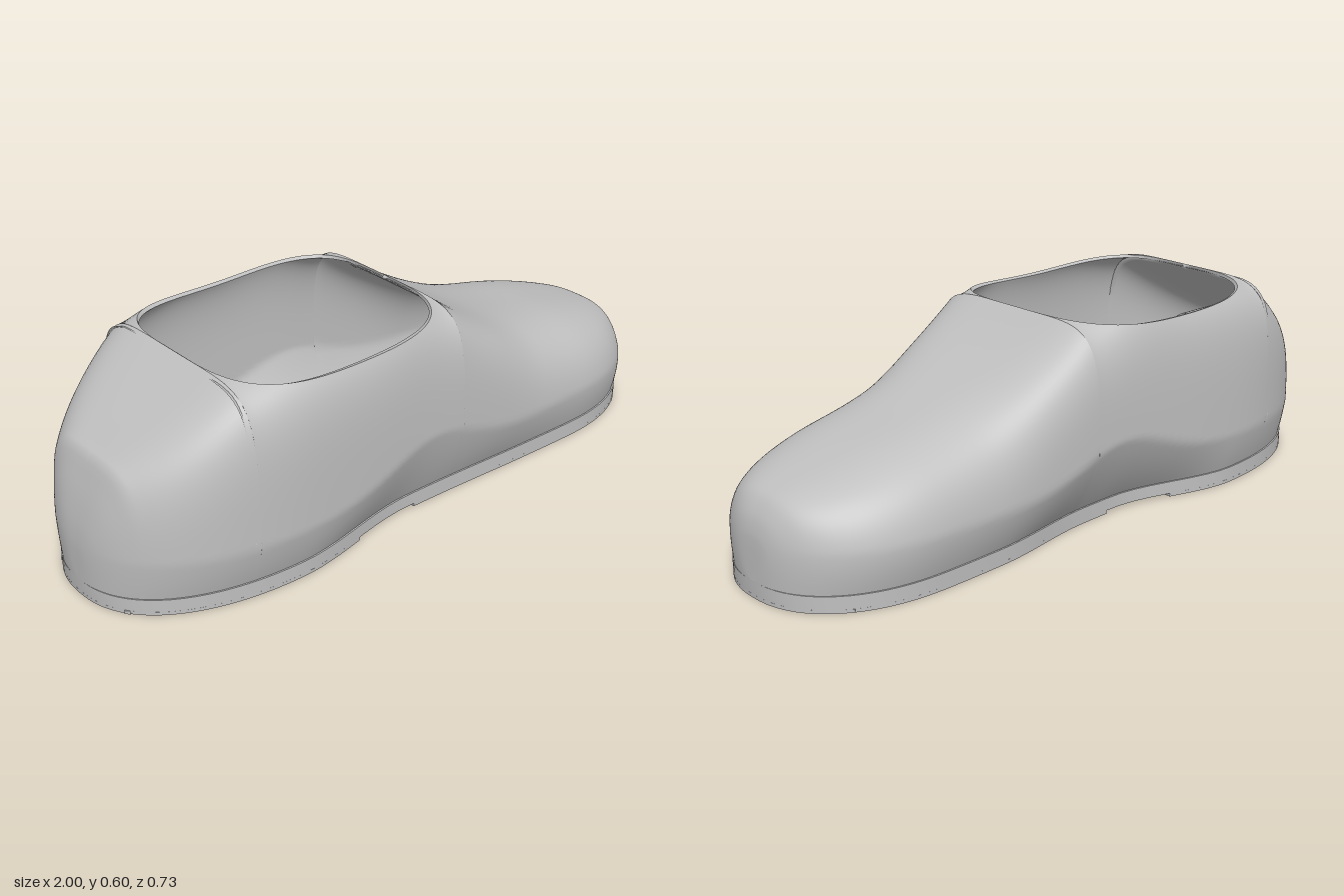
import * as THREE from 'three';
import { toCreasedNormals } from 'three/addons/utils/BufferGeometryUtils.js';

const OPEN_C = -0.285, OPEN_H = 0.365, OPEN_W = 0.326, BASE = 0.048, WALL = 0.016;

// Monotone cubic through [x, value] points
function curve(p) {
  const d = p.slice(1).map((q, i) => (q[1] - p[i][1]) / (q[0] - p[i][0]));
  const m = p.map((_, i) => {
    if (i === 0) return d[0];
    if (i === p.length - 1) return d[i - 1];
    return d[i - 1] * d[i] <= 0 ? 0 : (2 * d[i - 1] * d[i]) / (d[i - 1] + d[i]);
  });
  return (x) => {
    let i = 0;
    while (i < p.length - 2 && x > p[i + 1][0]) i++;
    const h = p[i + 1][0] - p[i][0], t = Math.min(1, Math.max(0, (x - p[i][0]) / h));
    const a = t * t * (3 - 2 * t), b = t * (1 - t) * (1 - t), c = t * t * (t - 1);
    return p[i][1] * (1 - a) + p[i + 1][1] * a + h * (m[i] * b + m[i + 1] * c);
  };
}

const ridge = curve([[-1, BASE], [-0.997, 0.15], [-0.98, 0.25], [-0.945, 0.362], [-0.93, 0.4], [-0.91, 0.415], [-0.67, 0.588],
  [-0.65, 0.602], [0.08, 0.602], [0.1, 0.586], [0.2, 0.52], [0.35, 0.445], [0.5, 0.395], [0.7, 0.35], [0.88, 0.3],
  [0.94, 0.275], [0.975, 0.23], [0.993, 0.17], [1, BASE]]);
const squareness = curve([[-1, 3.4], [-0.65, 6], [0.08, 6], [0.45, 3.3], [1, 2.8]]);
const bodyHalf = curve([[-1, 0.36], [-0.45, 0.366], [0, 0.347], [0.3, 0.34], [0.6, 0.33], [1, 0.32]]);
const soleHalf = [0.25, 0.28].map((w) =>
  curve([[-1, 0.335], [-0.5, 0.338], [-0.08, w], [0.05, w + 0.003], [0.4, 0.3], [0.6, 0.305], [1, 0.3]]));

// Rounded heel and toe in plan
function ends(x) {
  const u = x < -0.45 ? (-0.45 - x) / 0.55 : x > 0.6 ? (x - 0.6) / 0.4 : 0;
  return Math.pow(Math.max(0, 1 - Math.pow(u, 2.3)), 1 / 2.3);
}
const soleW = (x, s) => soleHalf[s > 0 ? 1 : 0](x) * ends(x);

// One half cross-section point: k runs 0 (base) to 1 (ridge or rim)
function bodyPoint(x, k, s) {
  const n = squareness(x), w = bodyHalf(x) * ends(x), u = Math.abs(x - OPEN_C) / OPEN_H;
  let top = ridge(x), end = Math.PI / 2;
  if (u < 1 - 1e-9) {
    const r = OPEN_W * Math.pow(1 - Math.pow(u, 3.5), 1 / 3.5) / w;
    const rise = Math.pow(1 - Math.pow(r, n), 1 / n);
    top = BASE + (0.575 + 0.027 * u * u - BASE) / rise;
    end = Math.atan2(rise, r);
  }
  const a = end * k, co = Math.PI / 2 - a < 1e-9 ? 0 : Math.cos(a), si = Math.sin(a);
  const rho = Math.pow(Math.pow(co, n) + Math.pow(si, n), -1 / n);
  const y = BASE + (top - BASE) * si * rho;
  // pinch towards the sole, with a crease that is highest at the arch
  const crease = 0.165 + 0.095 * Math.exp(-Math.pow((x + 0.03) / 0.22, 2));
  const t = Math.min(1, (y - BASE) / (crease - BASE));
  const base = w > 1e-6 ? Math.max(0, soleW(x, s) - 0.005) / w : 1;
  return [x, y, s * w * co * rho * (base + (1 - base) * t * (1.3 - 0.3 * t))];
}

// Outer skin, offset lining and rim strip
function buildUpper() {
  const xs = [], A = 36, B = 56, C = 52, M = 44;
  for (let i = 0; i < A; i++) xs.push(-1 + 0.35 * Math.pow(i / A, 2.3));
  for (let i = 0; i <= B; i++) {
    const t = Math.sin((Math.PI / 2) * (2 * i / B - 1));
    xs.push(OPEN_C + OPEN_H * Math.sin((Math.PI / 2) * t));
  }
  for (let i = 1; i <= C; i++) xs.push(1 - 0.92 * Math.pow(1 - i / C, 2.3));
  const row = 2 * (M + 1), pos = [], idx = [];
  const id = (i, k, s) => i * row + (s > 0 ? 0 : M + 1) + k;
  xs.forEach((x) => [1, -1].forEach((s) => {
    for (let k = 0; k <= M; k++) pos.push(...bodyPoint(x, k / M, s));
  }));
  const quad = (out, a, b, c, d, flip) => (flip ? out.push(a, c, b, b, c, d) : out.push(a, b, c, b, d, c));
  for (let i = 0; i < xs.length - 1; i++) for (const s of [1, -1]) for (let k = 0; k < M; k++)
    quad(idx, id(i, k, s), id(i + 1, k, s), id(i, k + 1, s), id(i + 1, k + 1, s), s < 0);
  const make = (p, ix) => {
    const g = new THREE.BufferGeometry();
    g.setAttribute('position', new THREE.Float32BufferAttribute(p, 3));
    g.setIndex(ix);
    g.computeVertexNormals();
    return g;
  };
  const outer = make(pos, idx), nor = outer.attributes.normal, v = new THREE.Vector3();
  const inPos = [];
  for (let i = 0; i < nor.count; i++) {
    v.fromBufferAttribute(nor, i);
    if (Math.abs(pos[3 * i + 2]) < 1e-6) { // keep the centre line seamless
      v.z = 0;
      if (v.lengthSq() < 1e-8) v.set(Math.sign(pos[3 * i]), 0, 0);
      v.normalize();
      nor.setXYZ(i, v.x, v.y, v.z);
    }
    inPos.push(pos[3 * i] - v.x * WALL, Math.max(BASE, pos[3 * i + 1] - v.y * WALL * 0.6), pos[3 * i + 2] - v.z * WALL);
  }
  const inIdx = [];
  for (let i = 0; i < idx.length; i += 3) inIdx.push(idx[i], idx[i + 2], idx[i + 1]);
  const rimPos = [], rimIdx = [];
  for (const s of [1, -1]) for (let i = A; i <= A + B; i++) {
    const o = 3 * id(i, M, s), n = rimPos.length / 3;
    rimPos.push(...pos.slice(o, o + 3), ...inPos.slice(o, o + 3));
    if (i < A + B) quad(rimIdx, n, n + 2, n + 1, n + 3, s < 0);
  }
  return { outer, lining: make(inPos, inIdx), rim: make(rimPos, rimIdx) };
}

// Sole outline between two x positions, in shape space (x, -z)
function outline(x0, x1) {
  const pts = [], n = 60, ease = (i) => x0 + (x1 - x0) * (0.5 - 0.5 * Math.cos(Math.PI * i / n));
  for (let i = 0; i <= n; i++) pts.push(new THREE.Vector2(ease(i), -soleW(ease(i), 1)));
  for (let i = n; i >= 0; i--) {
    const w = soleW(ease(i), -1);
    if (w > 1e-5) pts.push(new THREE.Vector2(ease(i), w));
  }
  return pts;
}
function slab(shape, y0, y1) {
  const g = new THREE.ExtrudeGeometry(shape, { depth: y1 - y0, bevelEnabled: false, curveSegments: 10 });
  return toCreasedNormals(g.rotateX(-Math.PI / 2).translate(0, y0, 0), 0.6);
}
const hole = (x, z, r) => new THREE.Path().absarc(x, -z, r, 0, Math.PI * 2, true);
const tube = (r, inner, h, depth) => toCreasedNormals(new THREE.LatheGeometry(
  [[r, 0], [r, h], [inner, h], [inner, h - depth], [0, h - depth]].map((p) => new THREE.Vector2(...p)), 28), 0.6);

export function createModel() {
  const model = new THREE.Group();
  const grey = new THREE.MeshStandardMaterial({ color: 0xc0c0c0 });
  grey.name = 'grey';
  const add = (name, geo, x = 0, y = 0, z = 0) => {
    const m = new THREE.Mesh(geo, grey);
    m.name = name;
    m.position.set(x, y, z);
    model.add(m);
    return m;
  };

  const upper = buildUpper();
  add('upper', upper.outer);
  add('lining', upper.lining);
  add('openingRim', upper.rim);

  // Sole plates with blind pockets and four drain holes
  const drains = [[-0.55, 0], [-0.225, 0], [0.04, 0.19], [0.04, -0.19]];
  const pockets = [[-0.38, 0], [-0.78, 0], [-0.02, 0], [0.24, 0], [0.53, 0]];
  for (const s of [1, -1]) for (const [x, z] of [[-0.55, 0.22], [0.12, 0.18], [0.38, 0.18], [0.56, 0.245], [0.84, 0.13]])
    pockets.push([x, s * z]);
  const lower = new THREE.Shape(outline(-1, 1)), insole = new THREE.Shape(outline(-1, 1));
  drains.forEach(([x, z]) => { lower.holes.push(hole(x, z, 0.012)); insole.holes.push(hole(x, z, 0.012)); });
  pockets.forEach(([x, z]) => lower.holes.push(hole(x, z, 0.034)));
  add('solePlate', slab(lower, 0.01, 0.042));
  add('insole', slab(insole, 0.042, BASE));
  for (const [x, z] of pockets) {
    const ring = new THREE.Shape().absarc(x, -z, 0.046, 0, Math.PI * 2, false);
    ring.holes.push(hole(x, z, 0.034));
    add('pocketRing', slab(ring, 0, 0.01));
  }

  // Tread border and zigzag ribs on heel and forefoot
  for (const [x0, x1] of [[-1, -0.28], [-0.05, 1]]) {
    const edge = outline(x0, x1), mid = (x0 + x1) / 2, k = 1 - 0.03 / (x1 - x0);
    const border = new THREE.Shape(edge);
    border.holes.push(new THREE.Path(edge.map((p) => new THREE.Vector2(mid + (p.x - mid) * k, p.y * 0.95)).reverse()));
    add('treadBorder', slab(border, 0, 0.01));
    for (let x = x0 + 0.05; x < x1 - 0.06; x += 0.13) for (let j = -4; j < 4; j++) {
      const a = [x + (j & 1 ? 0.08 : 0), j * 0.08], b = [x + (j & 1 ? 0 : 0.08), (j + 1) * 0.08];
      const cx = (a[0] + b[0]) / 2, cz = (a[1] + b[1]) / 2;
      const fits = [a, b].every(([px, pz]) => px < x1 - 0.01 && Math.abs(pz) < soleW(px, cz) - 0.005);
      if (!fits || pockets.some(([px, pz]) => Math.hypot(px - cx, pz - cz) < 0.055)) continue;
      const dx = b[0] - a[0], dz = b[1] - a[1];
      const rib = add('treadRib', new THREE.BoxGeometry(Math.hypot(dx, dz) + 0.012, 0.01, 0.016), cx, 0.005, cz);
      rib.rotation.y = -Math.atan2(dz, dx);
    }
  }

  // Floor rings and pads, and a horizontal boss inside the heel
  for (const [x, z] of [[-0.55, 0.225], [-0.55, -0.225], [-0.385, 0], [-0.015, 0]])
    add('floorRing', tube(0.038, 0.03, 0.03, 0.025), x, BASE, z);
  for (const s of [1, -1]) for (const [x, z] of [[-0.35, 0.255], [-0.105, 0.14]])
    add('pad', new THREE.CylinderGeometry(0.02, 0.02, 0.012, 24), x, BASE + 0.006, s * z);
  add('heelBoss', tube(0.065, 0.03, 0.19, 0.1), -0.86, 0.37, 0).rotation.z = -Math.PI / 2;
  return model;
}
